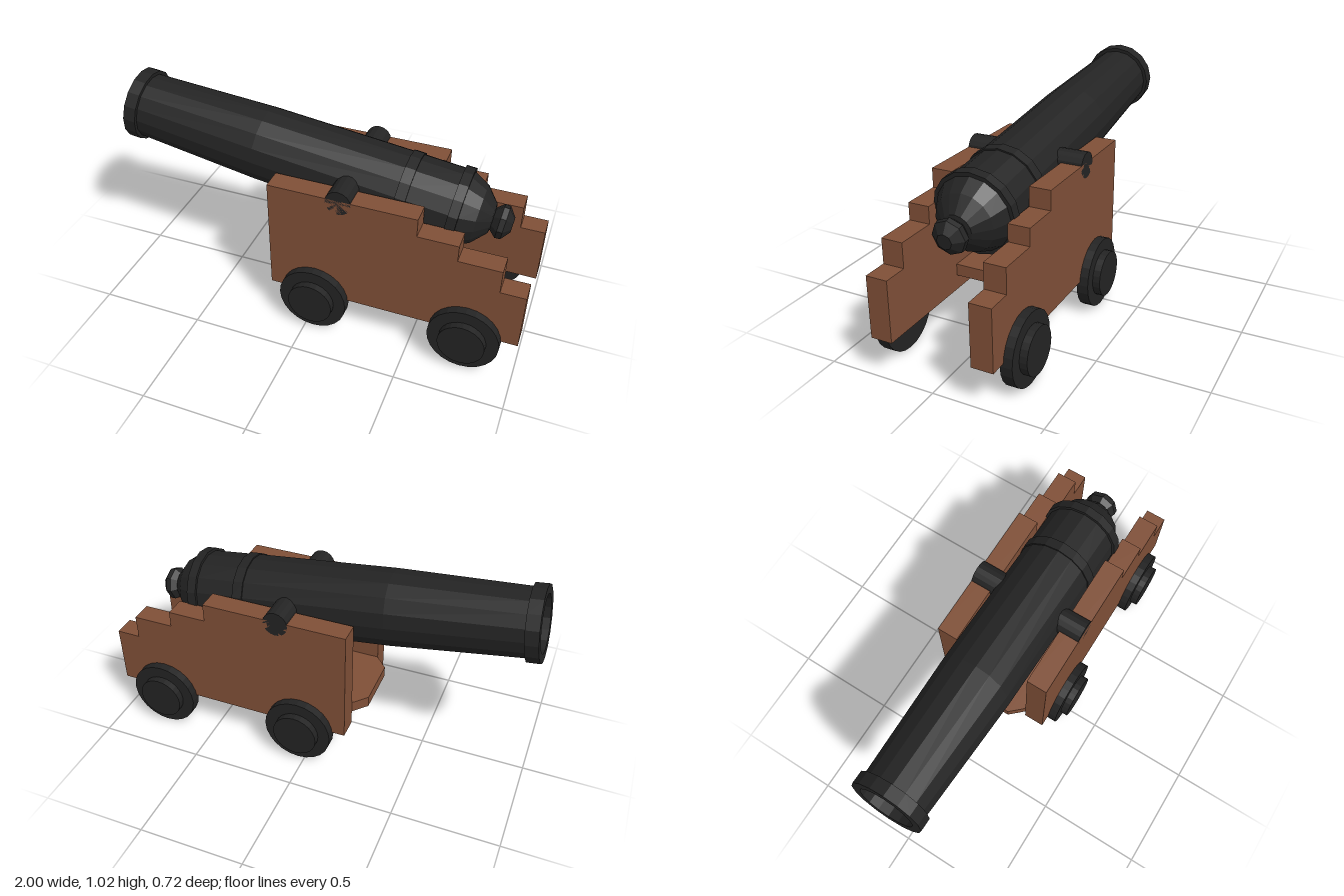
import * as THREE from 'three';

const iron = new THREE.MeshStandardMaterial({ color: 0x232323, flatShading: true });
iron.name = 'black iron';
const wood = new THREE.MeshStandardMaterial({ color: 0x7f4f37, flatShading: true });
wood.name = 'brown wood';

function part(name, geometry, material, parent) {
  const mesh = new THREE.Mesh(geometry, material);
  mesh.name = name;
  parent.add(mesh);
  return mesh;
}

// Profile pairs are [radius, distance behind the muzzle], listed from breech to muzzle
const lathe = (pairs, sides) =>
  new THREE.LatheGeometry(pairs.map(([r, s]) => new THREE.Vector2(r, -s)), sides);

function outline(points) {
  return new THREE.Shape(points.map(([x, y]) => new THREE.Vector2(x, y)));
}

const extrude = (points, depth) =>
  new THREE.ExtrudeGeometry(outline(points), { depth, bevelEnabled: false });

// Cylinder along z between two depths
function disc(radius, z0, z1, sides) {
  const g = new THREE.CylinderGeometry(radius, radius, z1 - z0, sides);
  g.rotateX(Math.PI / 2);
  g.translate(0, 0, (z0 + z1) / 2);
  return g;
}

export function createModel() {
  const model = new THREE.Group();
  model.name = 'cannon';

  // Barrel, raised towards the muzzle, with hollow bore and reinforcing rings
  const gun = new THREE.Group();
  gun.name = 'gun';
  gun.position.set(-0.978, 0.853, 0);
  gun.rotation.z = THREE.MathUtils.degToRad(82.6);
  model.add(gun);
  part('barrel', lathe([
    [0, 1.78], [0.07, 1.765], [0.137, 1.705], [0.175, 1.632],
    [0.193, 1.632], [0.193, 1.587], [0.18, 1.587],
    [0.18, 1.395], [0.187, 1.395], [0.187, 1.345], [0.181, 1.345],
    [0.177, 0.66], [0.155, 0.06],
    [0.172, 0.06], [0.172, 0], [0.13, 0], [0.13, 0.6], [0, 0.6],
  ], 16), iron, gun);
  part('breechKnob', lathe([
    [0, 1.75], [0, 1.858], [0.035, 1.858], [0.078, 1.825], [0.08, 1.8], [0.045, 1.76],
  ].slice(1), 8), iron, gun);

  // Pivot pins resting on the cheeks
  const trunnion = part('trunnion', disc(0.06, -0.285, 0.285, 16), iron, model);
  trunnion.position.set(0.145, 0.737, 0);

  // Stepped side cheeks
  const steps = [
    [-0.19, 0.18], [1, 0.18], [1, 0.465], [0.885, 0.465], [0.885, 0.58],
    [0.69, 0.58], [0.69, 0.66], [0.505, 0.66], [0.505, 0.75], [-0.19, 0.75],
  ];
  for (const z of [0.185, -0.285]) {
    part(z > 0 ? 'frontCheek' : 'backCheek', extrude(steps, 0.1), wood, model).position.z = z;
  }

  // Bed plank between the cheeks, with clipped corners at the muzzle end
  const bed = extrude([
    [-0.25, -0.12], [-0.19, -0.185], [0.5, -0.185],
    [0.5, 0.185], [-0.19, 0.185], [-0.25, 0.12],
  ], 0.055);
  bed.rotateX(-Math.PI / 2);
  part('bedPlank', bed, wood, model).position.y = 0.25;

  // Four wheels with raised hubs
  for (const x of [0.035, 0.76]) {
    for (const side of [1, -1]) {
      const wheel = new THREE.Group();
      wheel.name = 'wheel';
      wheel.position.set(x, 0.165, 0);
      if (side < 0) wheel.rotation.y = Math.PI;
      part('wheelRim', disc(0.165, 0.27, 0.325, 24), iron, wheel);
      part('wheelHub', disc(0.108, 0.32, 0.36, 24), iron, wheel);
      model.add(wheel);
    }
  }
  return model;
}
